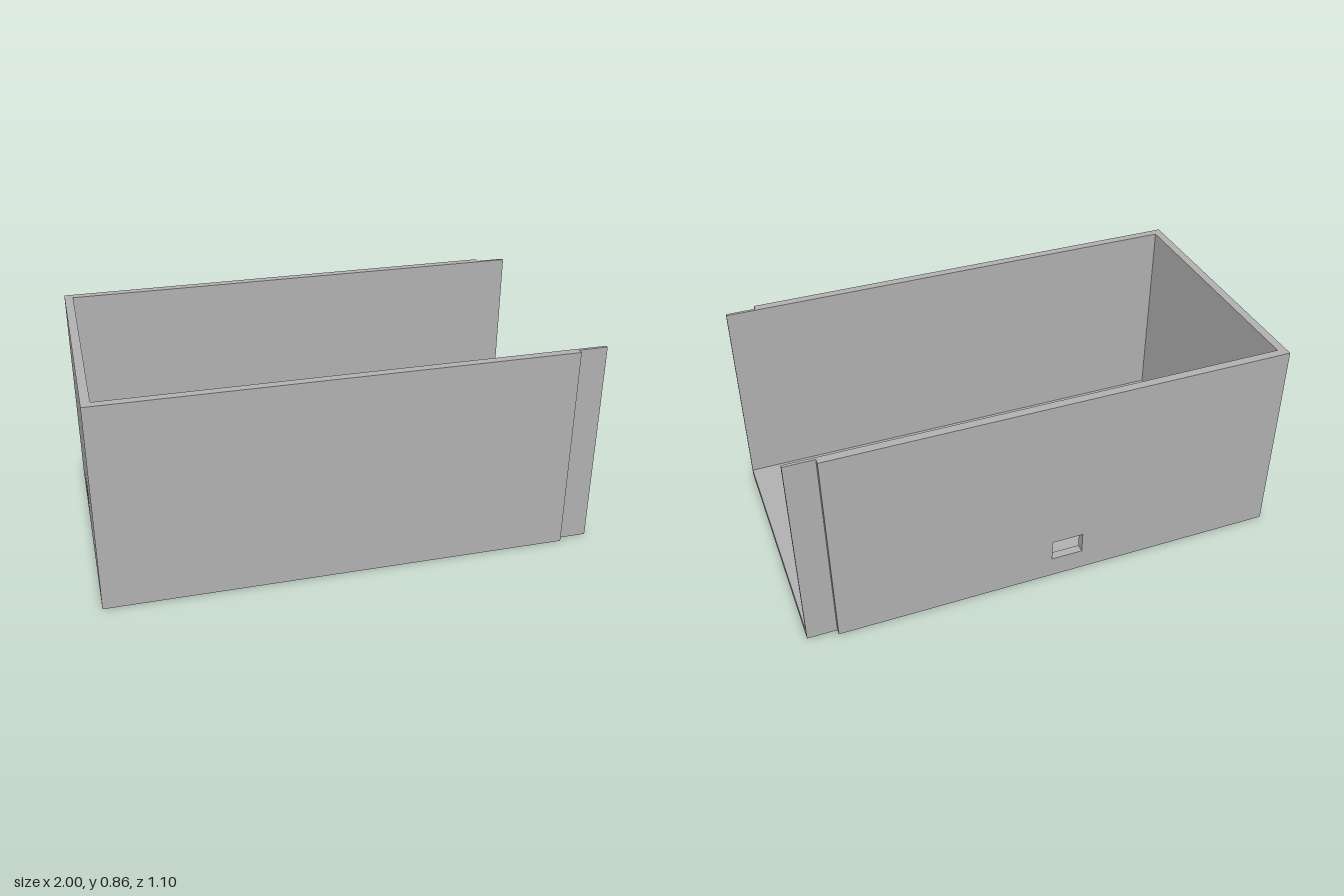
import * as THREE from 'three';

const H = 0.855;      // height
const Z = 0.55;       // half width
const T = 0.035;      // wall and floor thickness
const STEP_X = 0.88;  // where the side walls become thinner
const LIP_Z = 0.527;  // outer face of the thin lip

const grey = new THREE.MeshStandardMaterial({ color: 0xb2b2b2 });
grey.name = 'grey';

function rectPoints(u0, u1, v0, v1) {
  return [[u0, v0], [u1, v0], [u1, v1], [u0, v1]].map(([u, v]) => new THREE.Vector2(u, v));
}

// Upright panel in the xy plane, extruded along +z, with an optional rectangular opening
function panel(u0, u1, opening) {
  const shape = new THREE.Shape(rectPoints(u0, u1, 0, H));
  if (opening) shape.holes.push(new THREE.Path(rectPoints(...opening).reverse()));
  return new THREE.ExtrudeGeometry(shape, { depth: T, bevelEnabled: false });
}

// Box given by its limits on each axis
function block(x0, x1, y0, y1, z0, z1) {
  return new THREE.BoxGeometry(x1 - x0, y1 - y0, z1 - z0)
    .translate((x0 + x1) / 2, (y0 + y1) / 2, (z0 + z1) / 2);
}

export function createModel() {
  const group = new THREE.Group();
  group.name = 'openEndedCase';
  const add = (name, geometry) => {
    const mesh = new THREE.Mesh(geometry, grey);
    mesh.name = name;
    group.add(mesh);
  };

  // Floor between the walls, reaching the open end
  add('floor', block(-1 + T, 1, 0, T, -Z + T, Z - T));

  // Long walls; the back one has a small port opening
  add('frontWall', panel(-1, STEP_X).translate(0, 0, Z - T));
  add('backWall', panel(-1, STEP_X, [-0.147, -0.015, 0.09, 0.18]).translate(0, 0, -Z));

  // Thin lips at the open end
  add('frontLip', block(STEP_X, 1, 0, H, Z - T, LIP_Z));
  add('backLip', block(STEP_X, 1, 0, H, -LIP_Z, -Z + T));

  // Closed end with a larger port opening; panel x runs along -z
  const end = panel(-Z + T, Z - T, [0, 0.17, 0.08, 0.2]);
  add('endWall', end.rotateY(Math.PI / 2).translate(-1, 0, 0));

  return group;
}
